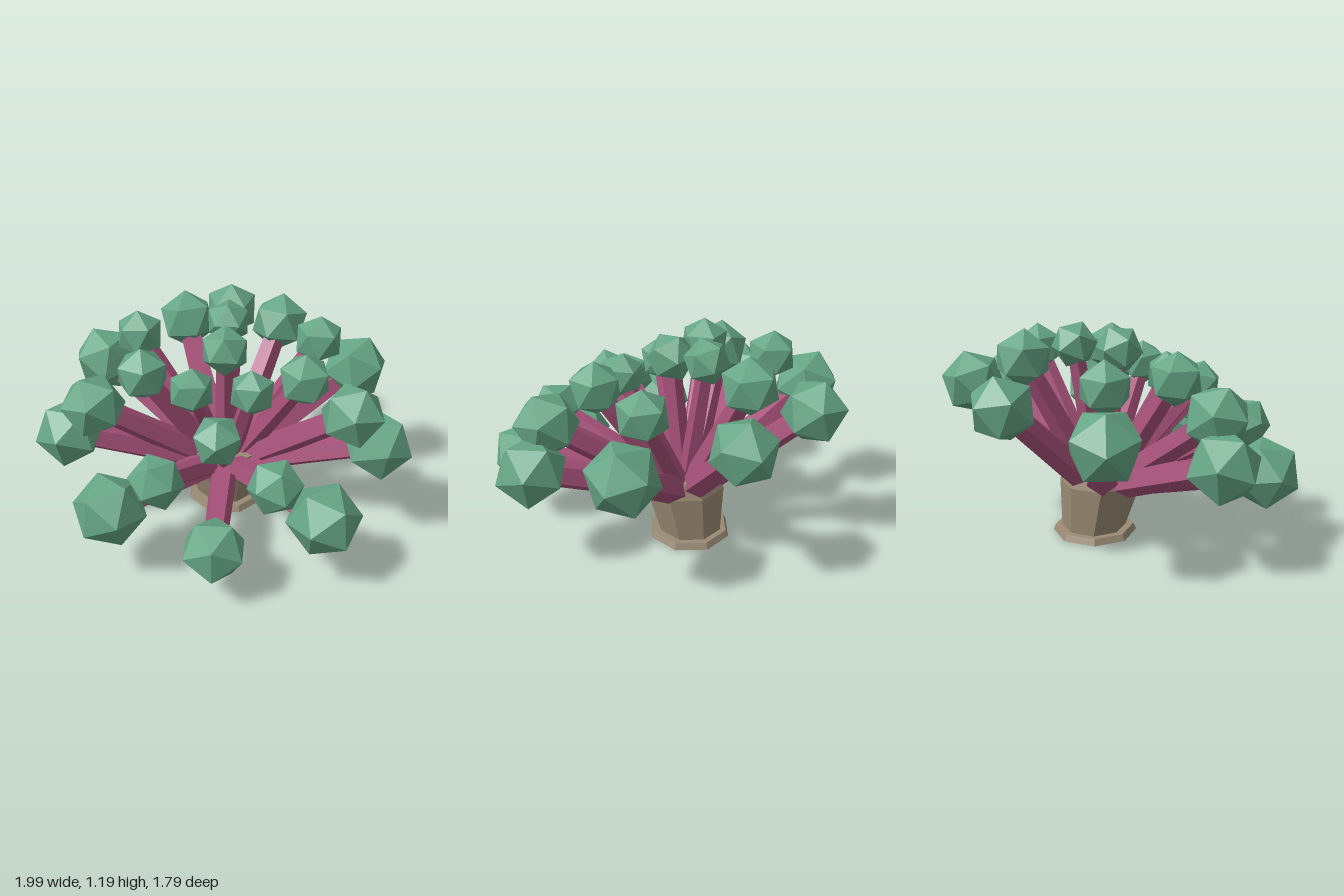
import * as THREE from 'three';

export function createModel() {
  const model = new THREE.Group();
  model.name = 'blobTree';
  const mat = (name, color, flatShading = true) => {
    const m = new THREE.MeshStandardMaterial({ color, flatShading });
    m.name = name;
    return m;
  };
  const bark = mat('bark', 0x9a8a74);
  const wood = mat('branchWood', 0xa8527a);
  const leaf = mat('foliage', 0x65a585);

  // Octagonal section, radius measured to its flats; the top can lean along z
  const section = (name, y0, y1, r0, r1, z0, z1) => {
    const k = 1 / Math.cos(Math.PI / 8);
    const g = new THREE.CylinderGeometry(r1 * k, r0 * k, y1 - y0, 8);
    g.rotateY(Math.PI / 8);
    g.translate(0, (y0 + y1) / 2, 0);
    const p = g.attributes.position;
    for (let i = 0; i < p.count; i++) {
      p.setZ(i, p.getZ(i) + THREE.MathUtils.mapLinear(p.getY(i), y0, y1, z0, z1));
    }
    g.computeVertexNormals();
    const mesh = new THREE.Mesh(g, bark);
    mesh.name = name;
    model.add(mesh);
  };
  section('trunkFoot', 0, 0.035, 0.215, 0.2, -0.16, -0.16);
  section('trunk', 0.035, 0.3, 0.165, 0.212, -0.165, -0.118);
  section('trunkCrown', 0.3, 0.39, 0.212, 0.2, -0.118, -0.1);

  // A tapered branch ending in a faceted leaf ball, both facing outward
  const addBranch = (x, y, z, r) => {
    const tip = new THREE.Vector3(x, y, z);
    const root = new THREE.Vector3(0, 0.29, -0.12);
    const dir = tip.clone().sub(root).normalize();
    root.x += dir.x * 0.1;
    root.z += dir.z * 0.1;
    const length = root.distanceTo(tip);

    const limb = new THREE.CylinderGeometry(r * 0.36, r * 0.46, length, 5);
    limb.rotateX(Math.PI / 2);
    limb.translate(0, 0, length / 2);
    const branch = new THREE.Mesh(limb, wood);
    branch.name = 'branch';

    const ball = new THREE.Mesh(new THREE.IcosahedronGeometry(r, 0), leaf);
    ball.name = 'leafBall';
    ball.position.z = length;

    const group = new THREE.Group();
    group.name = 'branchWithLeaves';
    group.position.copy(root);
    group.lookAt(tip);
    group.add(branch, ball);
    model.add(group);
  };

  // Ball centre and radius; those off the centre line are mirrored
  const balls = [
    [0.28, 0.85, -0.74, 0.175],
    [0, 1.02, -0.545, 0.155],
    [0.72, 0.75, -0.39, 0.19],
    [0.5, 0.96, -0.3, 0.14],
    [0, 1.07, -0.265, 0.125],
    [0, 1.02, -0.015, 0.135],
    [0.82, 0.6, 0.175, 0.19],
    [0.67, 0.795, 0.215, 0.175],
    [0.42, 0.94, 0.12, 0.145],
    [0.155, 0.9, 0.205, 0.125],
    [0, 0.78, 0.475, 0.135],
    [0.29, 0.615, 0.61, 0.145],
    [0.54, 0.415, 0.59, 0.195],
    [0, 0.31, 0.74, 0.172],
  ];
  for (const [x, y, z, r] of balls) {
    addBranch(x, y, z, r);
    if (x) addBranch(-x, y, z, r);
  }
  return model;
}
